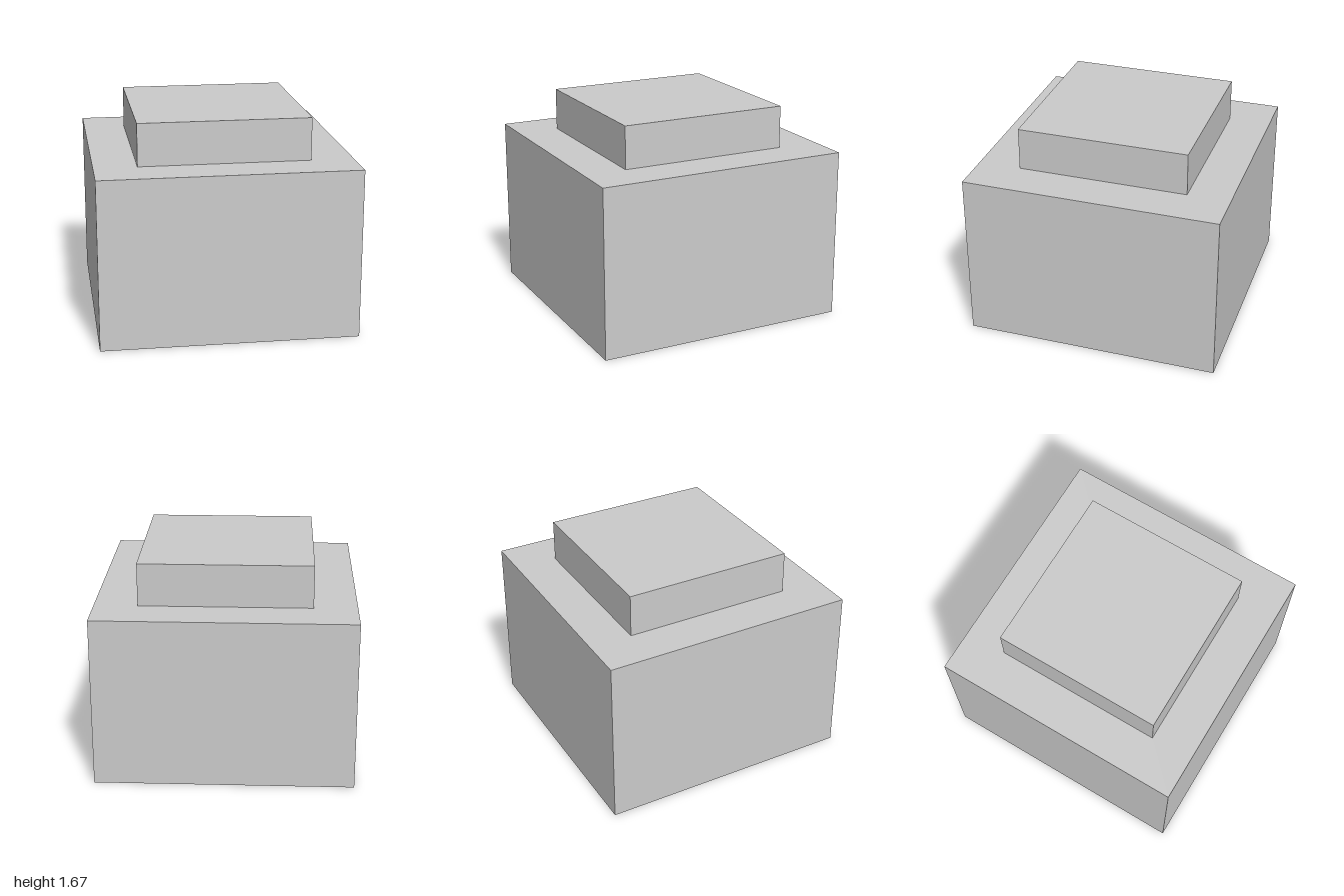
import * as THREE from 'three';

const material = new THREE.MeshStandardMaterial({ color: 0xcccccc, flatShading: true });

// Square block standing on height y
function block(name, width, height, y) {
  const mesh = new THREE.Mesh(new THREE.BoxGeometry(width, height, width), material);
  mesh.name = name;
  mesh.position.y = y + height / 2;
  return mesh;
}

export function createModel() {
  const unit = 1 / 3;
  const model = new THREE.Group();
  model.name = 'steppedBlock';

  // Wide lower block with a smaller slab centred on top
  model.add(block('base', 6 * unit, 4 * unit, 0));
  model.add(block('topSlab', 4 * unit, unit, 4 * unit));
  return model;
}
